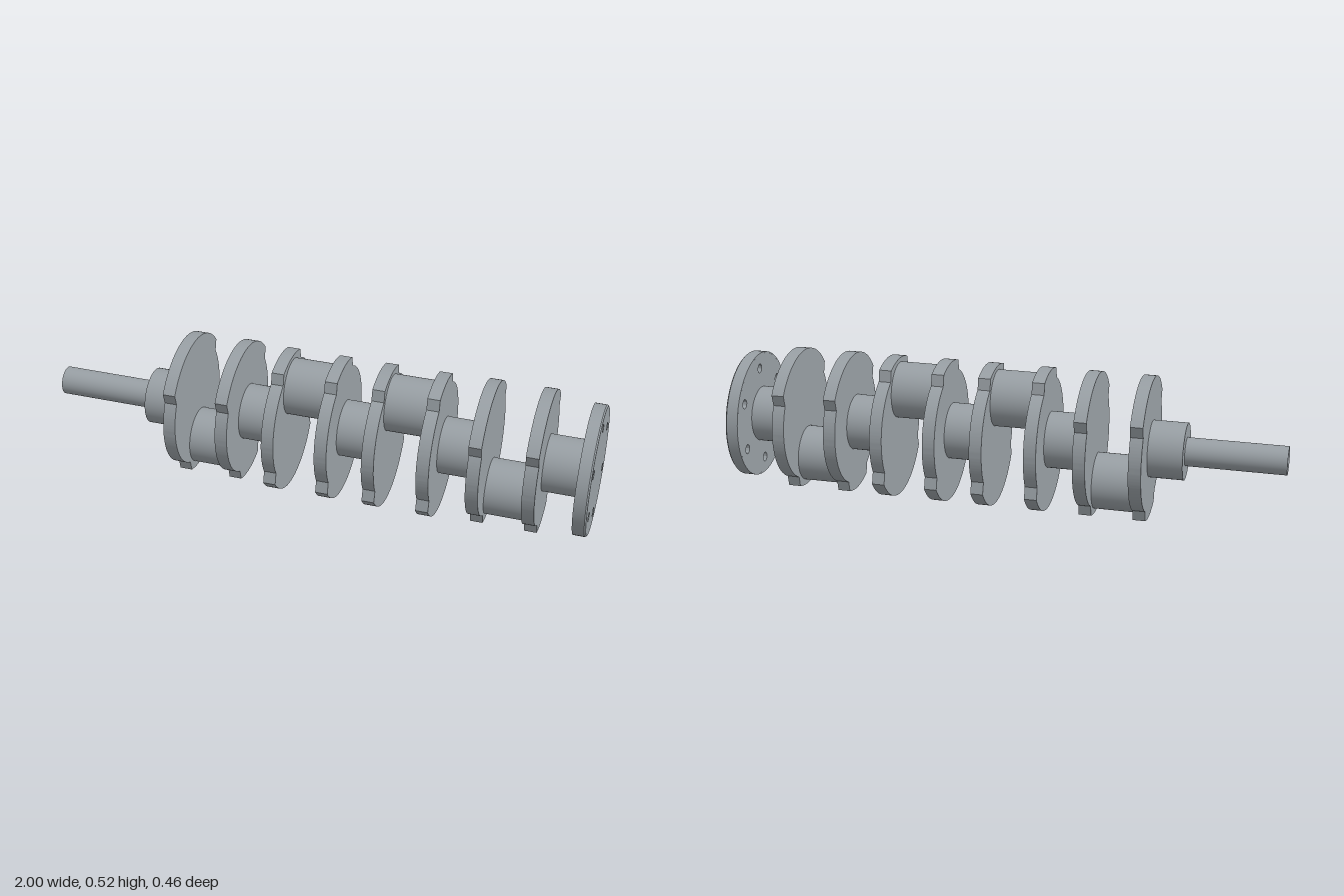
import * as THREE from 'three';
import { toCreasedNormals } from 'three/addons/utils/BufferGeometryUtils.js';

const AXIS_Y = 0.259;      // height of the shaft axis
const JOURNAL_R = 0.102;
const THROW = 0.141;       // crank pin offset from the axis
const WEB_T = 0.045;
const rad = THREE.MathUtils.degToRad;

export function createModel() {
  const steel = new THREE.MeshStandardMaterial({ color: 0x9aa1a6 });
  steel.name = 'steel';

  const model = new THREE.Group();
  model.name = 'crankshaft';

  const add = (name, geometry, x = 0, y = 0) => {
    const mesh = new THREE.Mesh(geometry, steel);
    mesh.name = name;
    mesh.position.set(x, AXIS_Y + y, 0);
    model.add(mesh);
    return mesh;
  };

  // Cylinder lying along x between two stations
  const bar = (name, x0, x1, radius, y = 0) => {
    const g = new THREE.CylinderGeometry(radius, radius, x1 - x0, 64);
    g.rotateZ(-Math.PI / 2);
    return add(name, g, (x0 + x1) / 2, y);
  };

  // Plate extruded along +x
  const plate = (shape, depth) => {
    const g = new THREE.ExtrudeGeometry(shape, { depth, bevelEnabled: false, curveSegments: 32 });
    g.rotateY(Math.PI / 2);
    return toCreasedNormals(g, rad(30));
  };

  // Web outline: counterweight lobe on top, narrow pin lobe below, waist between
  const outer = 0.2585, waist = 0.2255;
  const web = new THREE.Shape();
  web.absarc(0, 0, outer, rad(36), rad(144), false);
  web.absarc(0, 0, waist, rad(150.8), rad(243), false);
  web.absarc(0, 0, outer, rad(249), rad(291), false);
  web.absarc(0, 0, waist, rad(297), rad(389.2), false);
  web.closePath();
  const webGeometry = plate(web, WEB_T);

  // Four throws: start of each web pair and the side its pin lies on
  const throws = [[-0.521, -1], [-0.153, 1], [0.213, 1], [0.582, -1]];
  const pairPitch = 0.195;
  let journalStart = -0.645;
  for (const [x, side] of throws) {
    const x2 = x + pairPitch;
    for (const wx of [x, x2]) {
      const mesh = add('crankWeb', webGeometry, wx);
      if (side > 0) mesh.rotation.x = Math.PI;
    }
    bar('mainJournal', journalStart, x, JOURNAL_R);
    bar('crankPin', x + WEB_T, x2, JOURNAL_R, side * THROW);
    journalStart = x2 + WEB_T;
  }
  bar('mainJournal', journalStart, 0.955, JOURNAL_R);
  bar('snout', -1, -0.645, 0.051);

  // Flange with six bolt holes
  const flangeX = 0.953, flangeT = 0.047, faceR = 0.227, rimR = 0.232;
  const disc = new THREE.Shape();
  disc.absarc(0, 0, faceR, 0, Math.PI * 2, false);
  for (let i = 0; i < 6; i++) {
    const a = rad(30 + i * 60);
    const hole = new THREE.Path();
    hole.absarc(Math.cos(a) * 0.176, Math.sin(a) * 0.176, 0.017, 0, Math.PI * 2, true);
    disc.holes.push(hole);
  }
  add('flange', plate(disc, flangeT), flangeX);

  // Chamfered rim around the flange
  const rim = new THREE.LatheGeometry([
    new THREE.Vector2(faceR, 0),
    new THREE.Vector2(rimR, 0),
    new THREE.Vector2(rimR, flangeT - 0.005),
    new THREE.Vector2(faceR, flangeT),
  ], 96);
  rim.rotateZ(-Math.PI / 2);
  add('flangeRim', toCreasedNormals(rim, rad(30)), flangeX);

  return model;
}
